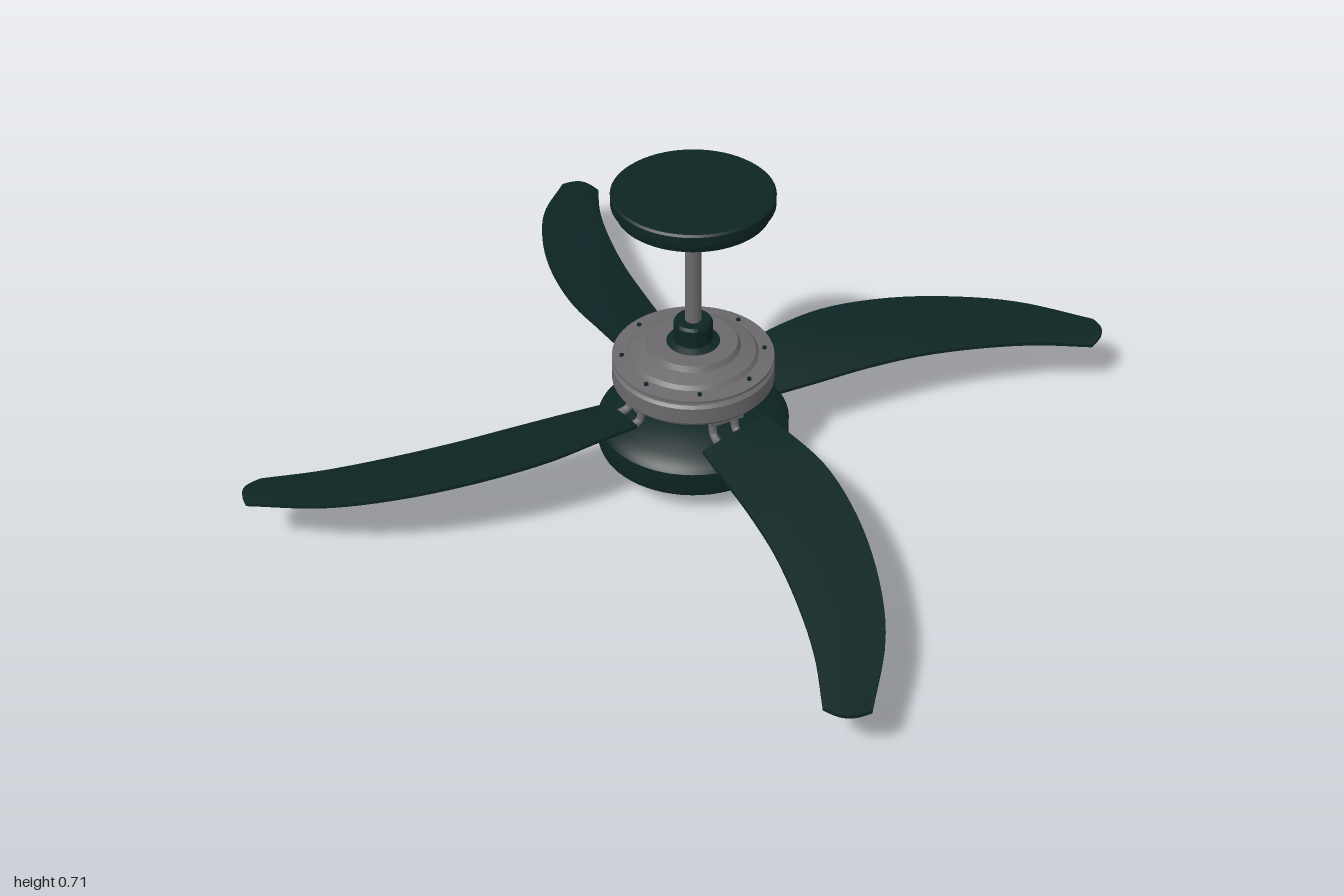
import * as THREE from 'three';
import { toCreasedNormals } from 'three/addons/utils/BufferGeometryUtils.js';

const mat = (name, color) => {
  const m = new THREE.MeshStandardMaterial({ color });
  m.name = name;
  return m;
};
const paint = mat('dark green paint', 0x0d2524);
const metal = mat('brushed metal', 0x6b696b);
const glass = mat('frosted glass', 0x7e7b7b);

const add = (parent, name, geometry, material) => {
  const mesh = new THREE.Mesh(geometry, material);
  mesh.name = name;
  parent.add(mesh);
  return mesh;
};

// Turned part; profile of [radius, y] runs from bottom to top
const turned = (profile) => toCreasedNormals(
  new THREE.LatheGeometry(profile.map(([r, y]) => new THREE.Vector2(r, y)), 64), 0.5);

const spline = (points) => new THREE.CatmullRomCurve3(points.map((p) => new THREE.Vector3(...p)));

// Swept, pitched blade pointing along +x, made of thin closed cross-sections
function bladeGeometry() {
  const back = spline([[0.18, 0.205, -0.082], [0.28, 0.212, -0.098], [0.4, 0.211, -0.109], [0.56, 0.2, -0.09],
    [0.72, 0.182, -0.043], [0.86, 0.163, 0.025], [0.997, 0.139, 0.137]]);
  const front = spline([[0.18, 0.163, 0.07], [0.28, 0.165, 0.076], [0.4, 0.167, 0.082], [0.54, 0.164, 0.095],
    [0.69, 0.155, 0.124], [0.82, 0.144, 0.161], [0.94, 0.131, 0.212]]);
  const steps = 28, across = 8, half = 0.004, ring = 2 * (across + 1);
  const pos = [], index = [];
  for (let i = 0; i <= steps; i++) {
    const t = i / steps, a = back.getPoint(t), b = front.getPoint(t);
    for (let k = 0; k < ring; k++) {
      const top = k <= across;
      const w = (top ? k : ring - 1 - k) / across;
      const p = a.clone().lerp(b, w);
      const bulge = Math.sin(Math.PI * w);
      p.x += 0.018 * bulge * t ** 10;
      p.z += 0.012 * bulge * t ** 10;
      p.y += 0.004 * bulge + (top ? half : -half);
      pos.push(p.x, p.y, p.z);
    }
  }
  for (let i = 0; i < steps; i++) {
    for (let k = 0; k < ring; k++) {
      const p = i * ring + k, q = i * ring + (k + 1) % ring;
      index.push(p, q, p + ring, q, q + ring, p + ring);
    }
  }
  // Root and tip caps
  const last = steps * ring;
  for (let k = 0; k < across; k++) {
    const m = ring - 1 - k;
    index.push(k, m, k + 1, k + 1, m, m - 1);
    index.push(last + k, last + k + 1, last + m, last + k + 1, last + m - 1, last + m);
  }
  const g = new THREE.BufferGeometry();
  g.setAttribute('position', new THREE.Float32BufferAttribute(pos, 3));
  g.setIndex(index);
  return toCreasedNormals(g, 0.6);
}

// Tapered plate screwed to the underside of a blade
function plateGeometry() {
  const s = new THREE.Shape();
  s.moveTo(-0.06, -0.045);
  s.lineTo(0.04, -0.028);
  s.quadraticCurveTo(0.065, 0, 0.04, 0.028);
  s.lineTo(-0.06, 0.045);
  s.closePath();
  return new THREE.ExtrudeGeometry(s, { depth: 0.008, bevelEnabled: false }).rotateX(-Math.PI / 2);
}

export function createModel() {
  const fan = new THREE.Group();
  fan.name = 'ceilingFan';

  // Ceiling mount and rod
  add(fan, 'canopy', turned([[0, 0.648], [0.045, 0.65], [0.13, 0.658], [0.165, 0.664], [0.17, 0.68],
    [0.175, 0.683], [0.175, 0.705], [0.17, 0.709], [0, 0.709]]), paint);
  add(fan, 'hangerBall', turned([[0, 0.618], [0.024, 0.618], [0.034, 0.627], [0.04, 0.64], [0.04, 0.655]]), paint);
  add(fan, 'rod', new THREE.CylinderGeometry(0.018, 0.018, 0.3, 32).translate(0, 0.5, 0), metal);
  add(fan, 'rodCollar', turned([[0, 0.315], [0.062, 0.315], [0.06, 0.325], [0.043, 0.332], [0.043, 0.375],
    [0.039, 0.382], [0, 0.382]]), paint);

  // Motor housing with a groove below its top flange
  add(fan, 'motorHousing', turned([[0, 0.215], [0.15, 0.215], [0.172, 0.222], [0.18, 0.232], [0.18, 0.27],
    [0.174, 0.276], [0.164, 0.277], [0.164, 0.283], [0.179, 0.284], [0.179, 0.291], [0.145, 0.294],
    [0.138, 0.303], [0.105, 0.313], [0.098, 0.325], [0, 0.326]]), metal);
  const screw = new THREE.CylinderGeometry(0.005, 0.005, 0.006, 10);
  for (let i = 0; i < 8; i++) {
    const a = (i + 0.5) * Math.PI / 4;
    add(fan, 'housingScrew', screw, paint).position.set(0.158 * Math.cos(a), 0.294, 0.158 * Math.sin(a));
  }

  // Light kit
  add(fan, 'neck', turned([[0.06, 0.15], [0.07, 0.175], [0.095, 0.192], [0.11, 0.205], [0.11, 0.217]]), paint);
  add(fan, 'lightKit', turned([[0, 0.062], [0.19, 0.062], [0.2, 0.058], [0.213, 0.06], [0.215, 0.066],
    [0.215, 0.118], [0.207, 0.128], [0.18, 0.142], [0.145, 0.156], [0.105, 0.168], [0, 0.17]]), paint);
  add(fan, 'glassBowl', turned([[0, 0], [0.05, 0.002], [0.1, 0.01], [0.145, 0.023], [0.175, 0.04],
    [0.188, 0.054], [0.19, 0.063]]), glass);

  // Four blades with their brackets
  const blade = bladeGeometry(), plate = plateGeometry();
  const hook = new THREE.TubeGeometry(spline([[0.14, 0.225, 0], [0.142, 0.195, 0], [0.148, 0.174, 0],
    [0.165, 0.167, 0], [0.2, 0.17, 0]]), 20, 0.009, 10);
  for (let i = 0; i < 4; i++) {
    const arm = new THREE.Group();
    arm.name = 'bladeArm';
    arm.rotation.y = i * Math.PI / 2;
    add(arm, 'blade', blade, paint);
    const p = add(arm, 'bracketPlate', plate, metal);
    p.position.set(0.235, 0.174, 0);
    p.rotation.x = 0.26;
    for (const z of [-0.027, 0.027]) add(arm, 'bracketHook', hook, metal).position.z = z;
    add(arm, 'bracketFoot', new THREE.BoxGeometry(0.04, 0.012, 0.08), metal).position.set(0.14, 0.212, 0);
    fan.add(arm);
  }
  return fan;
}
